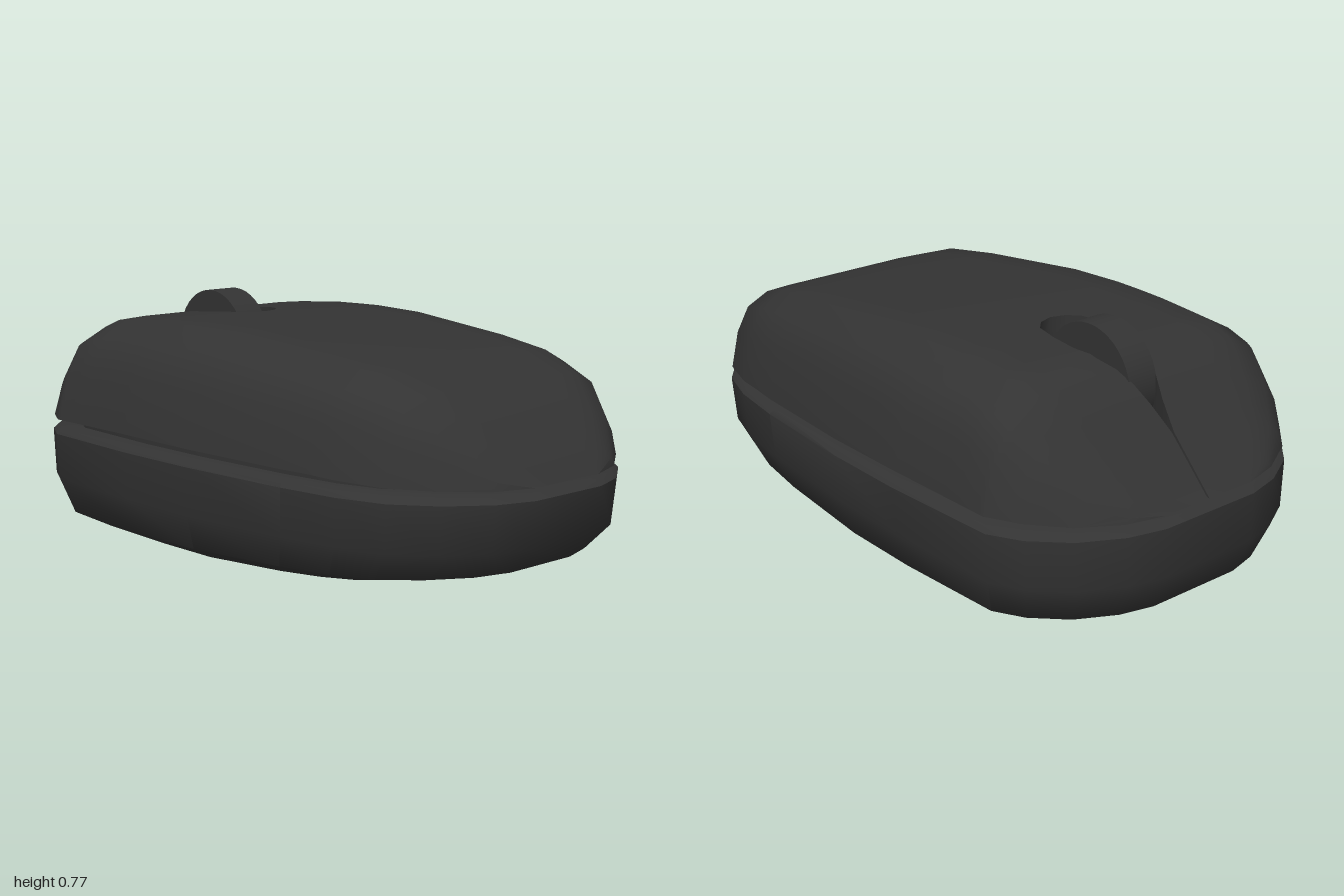
import * as THREE from 'three';
import { toCreasedNormals } from 'three/addons/utils/BufferGeometryUtils.js';

const dark = new THREE.MeshStandardMaterial({ color: 0x333333 });

// Piecewise linear curve through [x, value] pairs
const curve = (pts) => (x) => {
  for (let i = 1; i < pts.length; i++) {
    const [x0, v0] = pts[i - 1], [x1, v1] = pts[i];
    if (x <= x1) return v0 + (v1 - v0) * Math.max(0, (x - x0) / (x1 - x0));
  }
  return pts[pts.length - 1][1];
};

// Half outline seen from above
const outline = [
  [-1, 0.18], [-0.97, 0.3], [-0.9, 0.43], [-0.8, 0.53], [-0.7, 0.583], [-0.3, 0.595], [0, 0.587],
  [0.4, 0.555], [0.6, 0.525], [0.75, 0.475], [0.87, 0.38], [0.96, 0.26], [1, 0.14],
];
const halfWidth = curve(outline);
const top = curve([
  [-1, 0.355], [-0.73, 0.635], [-0.68, 0.67], [-0.6, 0.7], [-0.4, 0.715], [-0.2, 0.72], [0, 0.715],
  [0.4, 0.68], [0.6, 0.655], [0.76, 0.6], [0.88, 0.5], [1, 0.355],
]);
const rim = curve([[-1, 0.355], [-0.8, 0.37], [-0.3, 0.38], [0.5, 0.375], [1, 0.355]]);

// Half width of the button slit and wheel well
const well = [
  [-1, 0.003], [-0.85, 0.004], [-0.78, 0.025], [-0.7, 0.06], [-0.62, 0.09], [-0.54, 0.105],
  [-0.44, 0.1], [-0.37, 0.085], [-0.335, 0.05], [-0.32, 0],
];
const wellWidth = curve(well);

// Joins rows of points into one skin
function skin(rows, closed) {
  const n = rows[0].length, index = [];
  for (let i = 0; i < rows.length - 1; i++) {
    for (let j = 0; j < (closed ? n : n - 1); j++) {
      const a = i * n + j, b = i * n + ((j + 1) % n);
      index.push(a, b, a + n, b, b + n, a + n);
    }
  }
  const geo = new THREE.BufferGeometry();
  geo.setAttribute('position', new THREE.Float32BufferAttribute(rows.flat(2), 3));
  geo.setIndex(index);
  return toCreasedNormals(geo, 0.8);
}

function part(name, geometry) {
  const mesh = new THREE.Mesh(geometry, dark);
  mesh.name = name;
  return mesh;
}

// Upper shell: cross-sections along x, with the well sunk into the middle
function upperShell() {
  const profile = [[1, 0], [0.94, 0.5], [0.845, 0.83], [0.68, 0.985], [0.5, 1]];
  const stations = [...outline, ...well, [-0.73], [-0.68], [-0.6], [-0.4], [-0.2], [0.5]]
    .map((p) => p[0]);
  const sorted = [...new Set(stations)].sort((a, b) => a - b);
  const rows = sorted.map((u) => {
    const x = u * 0.988, w = halfWidth(u), y0 = rim(u), t = top(u), h = wellWidth(u);
    const floor = h > 0 ? Math.max(y0, t - 0.22) : t;
    const half = [
      [0, y0],
      ...profile.map(([a, b]) => [a * w, y0 + (t - y0) * b]),
      [h, t], [h, floor],
    ];
    return [
      ...half.map(([z, y]) => [x, y, -z]),
      ...half.reverse().map(([z, y]) => [x, y, z]),
    ];
  });
  return part('upperShell', skin(rows, false));
}

// Lower shell: outline rings from the base up into the seam groove
function lowerShell() {
  const ring = [
    ...outline,
    ...outline.map(([x, z]) => [x, -z]).reverse(),
  ];
  // min x, max x, width scale, height, rise towards the rear
  const levels = [
    [-0.86, 0.7, 0, 0, 0.065],
    [-0.86, 0.7, 0.74, 0, 0.065],
    [-0.95, 0.9, 0.92, 0.055, 0.045],
    [-1, 0.985, 0.985, 0.17, 0.01],
    [-1, 1, 1, 0.322, 0],
    [-0.98, 0.98, 0.975, 0.338, 0],
    [-0.9, 0.9, 0.89, 0.345, 0],
    [-0.9, 0.9, 0.89, 0.385, 0],
  ];
  const rows = levels.map(([x0, x1, s, y, rise]) => ring.map(([u, z]) => {
    const x = x0 + (x1 - x0) * (u + 1) / 2;
    return [x, y + rise * Math.max(0, x), z * s];
  }));
  return part('lowerShell', skin(rows, true));
}

export function createModel() {
  const group = new THREE.Group();
  group.name = 'computerMouse';
  group.add(upperShell(), lowerShell());

  // Scroll wheel
  const wheel = part('scrollWheel', new THREE.CylinderGeometry(0.175, 0.175, 0.108, 40));
  wheel.rotation.x = Math.PI / 2;
  wheel.position.set(-0.545, 0.597, -0.003);
  group.add(wheel);
  return group;
}
